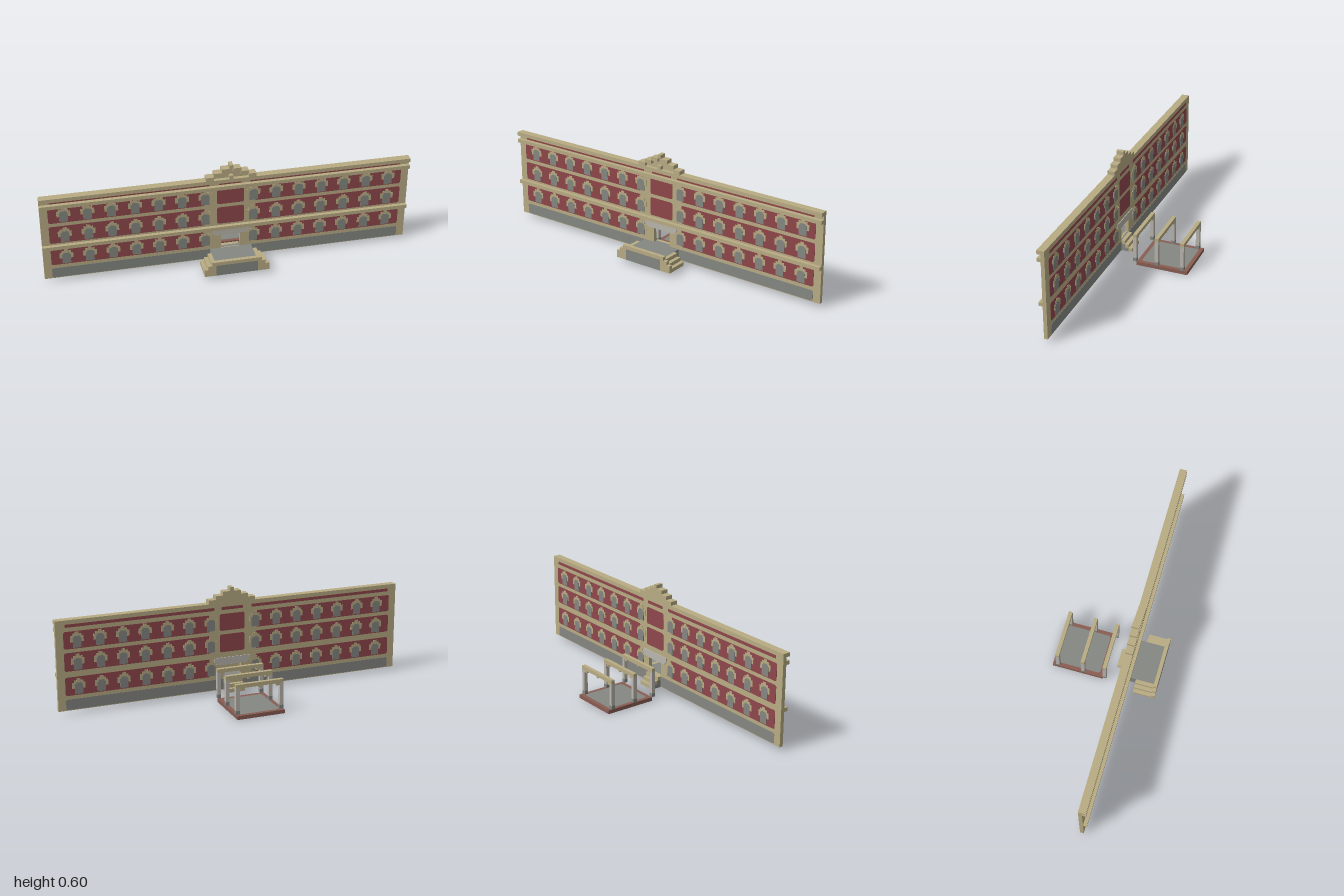
import * as THREE from 'three';

const U = 1 / 48; // block size
const mat = (name, color) => {
  const m = new THREE.MeshStandardMaterial({ color });
  m.name = name;
  return m;
};

export function createModel() {
  const root = new THREE.Group();
  root.name = 'longFacade';
  const tan = mat('sandstone', 0xb9ac84);
  const brick = mat('brick', 0x8f474b);
  const grey = mat('greyStone', 0x858782);
  const light = mat('paleStone', 0xbab6ae);
  const brown = mat('terracotta', 0x8a5d52);

  // Box given by its limits in blocks
  function box(name, m, x0, x1, y0, y1, z0, z1, parent = root) {
    const g = new THREE.BoxGeometry((x1 - x0) * U, (y1 - y0) * U, (z1 - z0) * U);
    const mesh = new THREE.Mesh(g, m);
    mesh.name = name;
    mesh.position.set((x0 + x1) / 2 * U, (y0 + y1) / 2 * U, (z0 + z1) / 2 * U);
    parent.add(mesh);
    return mesh;
  }

  // Outline in blocks, extruded between two z limits
  function slab(name, m, pts, z0, z1, hole, parent = root) {
    const v = (p) => p.map(([x, y]) => new THREE.Vector2(x * U, y * U));
    const shape = new THREE.Shape(v(pts));
    if (hole) shape.holes.push(new THREE.Path(v(hole)));
    const g = new THREE.ExtrudeGeometry(shape, { depth: (z1 - z0) * U, bevelEnabled: false });
    const mesh = new THREE.Mesh(g, m);
    mesh.name = name;
    mesh.position.z = z0 * U;
    parent.add(mesh);
    return mesh;
  }

  // Facing seen on both sides of the wall, slightly proud of it
  const facing = (name, m, pts, proud, parent) =>
    slab(name, m, pts, 5.5 - proud, 6.5 + proud, null, parent);

  // Rectangle with clipped corners
  const clipped = (x0, x1, y0, y1, c = 0.35) => [
    [x0 + c, y0], [x1 - c, y0], [x1, y0 + c], [x1, y1 - c],
    [x1 - c, y1], [x0 + c, y1], [x0, y1 - c], [x0, y0 + c]];

  // Wall with stepped gable and doorway
  slab('wall', tan, [
    [-48, 1], [48, 1], [48, 25], [7, 25], [7, 26], [5, 26], [5, 27], [3, 27], [3, 28], [1, 28], [1, 29],
    [0, 29], [0, 28], [-2, 28], [-2, 27], [-4, 27], [-4, 26], [-6, 26], [-6, 25], [-48, 25],
  ], 5.5, 6.5, [[-2, 4], [-2, 8], [3, 8], [3, 4]]);

  // Projecting cornices
  for (const y of [10, 22, 24]) box('cornice', tan, -48, 48, y, y + 1, 6.5, 7.5);

  // Stepped gable trim
  [[4, 6], [2, 4], [0, 2]].forEach(([a, b], i) => {
    box('gableTrim', tan, -b, -a, 25 + i, 26 + i, 6.5, 7.5);
    box('gableTrim', tan, a + 1, b + 1, 25 + i, 26 + i, 6.5, 7.5);
  });
  box('gableTip', tan, 0, 1, 28, 29, 6.5, 7.5);
  box('gableBoss', tan, 0, 1, 25, 26, 6.5, 7.5);

  // Basement band, doorway lintel, frieze
  facing('basement', grey, clipped(-46, 46, 1.2, 4), 0.08);
  facing('doorLintel', light, [[-3.5, 8], [4.5, 8], [5.5, 9], [5.5, 10], [-4.5, 10], [-4.5, 9]], 0.2);
  for (const [a, b] of [[-45.5, -5], [-2.5, 3.5], [5.5, 45.5]])
    facing('frieze', brick, clipped(a, b, 23.1, 23.9, 0.1), 0.08);

  // Brick storeys with arched windows
  const storeys = [[5, 9.9], [11.5, 16.4], [17.4, 22]];
  storeys.forEach(([y0, y1], i) => {
    const storey = new THREE.Group();
    storey.name = 'storey' + (i + 1);
    root.add(storey);
    facing('brickPanel', brick, clipped(-46, -6.2, y0, y1), 0.08, storey);
    facing('brickPanel', brick, clipped(6.8, 46, y0, y1), 0.08, storey);
    if (i > 0) facing('centrePanel', brick, clipped(-3, 4, y0, y1), 0.08, storey);
    for (let k = 0; k < 7; k++) {
      for (const x of [-6.1 - 6 * k, 6.5 + 6 * k]) {
        const y = y0 + 0.25;
        facing('windowArch', tan, [
          [x - 1.75, y + 1.5], [x + 1.75, y + 1.5], [x + 1.75, y + 3.1], [x + 1.2, y + 3.1],
          [x + 1.2, y + 3.7], [x + 0.5, y + 3.7], [x + 0.5, y + 4.2], [x - 0.5, y + 4.2],
          [x - 0.5, y + 3.7], [x - 1.2, y + 3.7], [x - 1.2, y + 3.1], [x - 1.75, y + 3.1]], 0.14, storey);
        facing('window', grey, [
          [x - 1.1, y], [x + 1.1, y], [x + 1.1, y + 2.5], [x + 0.55, y + 3.1],
          [x - 0.55, y + 3.1], [x - 1.1, y + 2.5]], 0.2, storey);
      }
    }
  });

  // Front porch with stairs down both sides
  const porch = new THREE.Group();
  porch.name = 'porch';
  root.add(porch);
  box('porchFloor', grey, -5, 6, 1, 4, 6.5, 14.5, porch);
  box('porchParapet', tan, -5, 6, 4, 5, 13.5, 14.5, porch);
  for (let i = 0; i < 3; i++) {
    for (const x of [-6 - i, 6 + i]) {
      box('sideStep', tan, x, x + 1, 1, 4 - i, 8.5, 13.5, porch);
      box('stepParapet', tan, x, x + 1, 1, 5 - i, 13.5, 14.5, porch);
    }
  }

  // Rear stairs: treads over a grey core
  for (let i = 0; i < 3; i++) {
    box('rearTread', tan, -2, 3, 3 - i, 4 - i, 4.5 - i, 5.5 - i);
    if (i < 2) box('rearStairCore', grey, -2, 3, 1, 3 - i, 4.5 - i, 5.5 - i);
  }

  // Rear terrace
  const terrace = new THREE.Group();
  terrace.name = 'terrace';
  root.add(terrace);
  slab('terraceRim', brown, [[-6, 0.5], [7, 0.5], [7, 14.5], [-6, 14.5]], 0, 1,
    clipped(-5, 6, 1.5, 13.5, 0.5), terrace).rotation.x = -Math.PI / 2;
  slab('terraceFloor', grey, clipped(-5, 6, 1.5, 13.5, 0.5), 0, 1, null, terrace)
    .rotation.x = -Math.PI / 2;

  // Three post-and-beam frames
  for (const z of [-13.5, -6.5, -0.5]) {
    const frame = new THREE.Group();
    frame.name = 'frame';
    terrace.add(frame);
    box('beam', tan, -6, 7, 8, 9, z, z + 1, frame);
    box('pendant', tan, 0.2, 0.8, 7.5, 8, z + 0.2, z + 0.8, frame);
    for (const [x, bx] of [[-6, -5], [6, 5]]) {
      box('postBase', grey, x, x + 1, 1, 2, z, z + 1, frame);
      box('post', light, x, x + 1, 2, 8, z, z + 1, frame);
      box('bracket', tan, bx, bx + 1, 7.4, 8, z + 0.1, z + 0.9, frame);
    }
  }
  return root;
}
